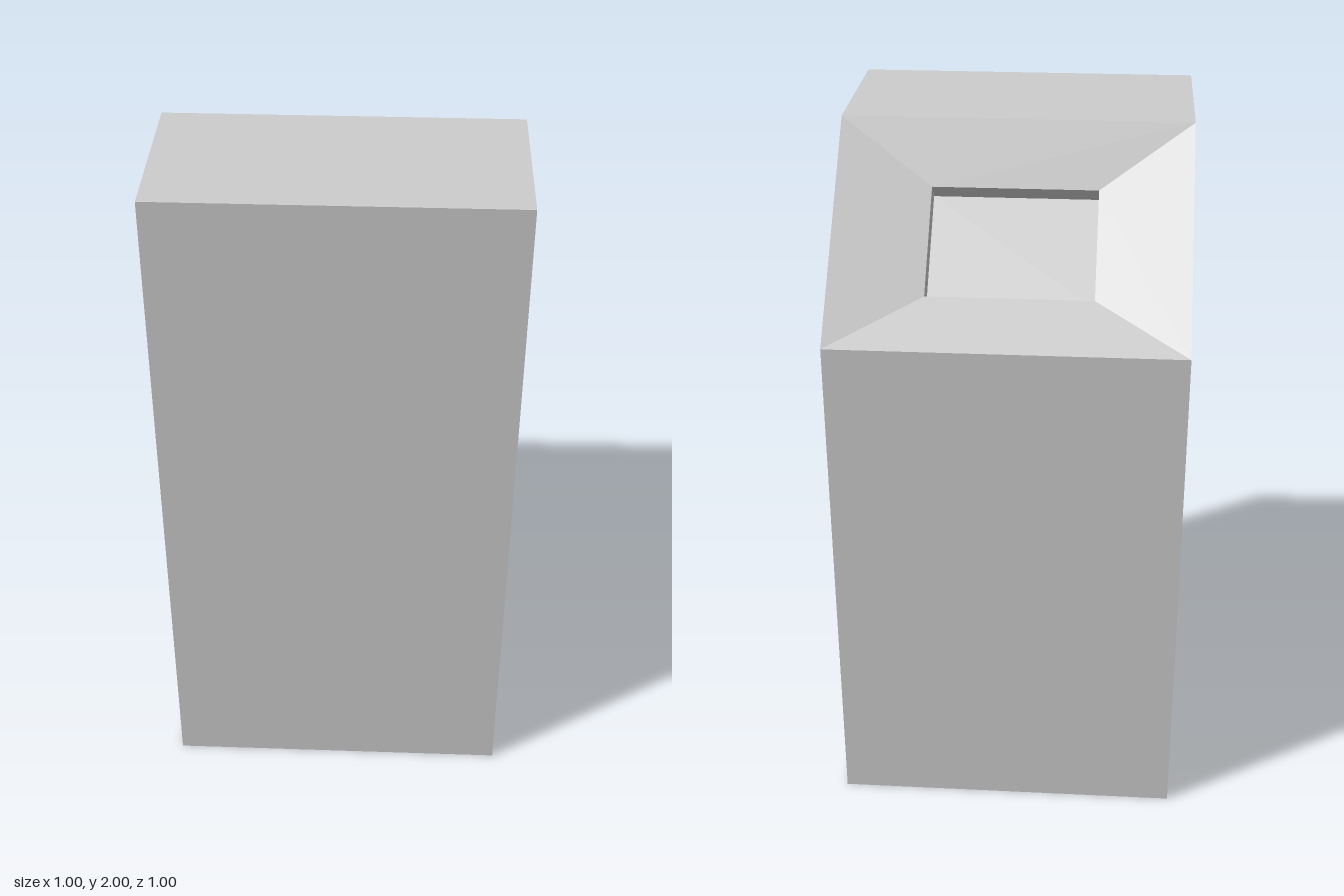
import * as THREE from 'three';

// Flat faces from lists of corners (convex, counter-clockwise from outside)
function facesGeometry(faces) {
  const pos = [];
  for (const f of faces)
    for (let i = 1; i < f.length - 1; i++) pos.push(...f[0], ...f[i], ...f[i + 1]);
  const geo = new THREE.BufferGeometry();
  geo.setAttribute('position', new THREE.Float32BufferAttribute(pos, 3));
  geo.computeVertexNormals();
  return geo;
}

// Rectangle of corners at a given depth below the sloped plane
const ring = (w, h, depth) =>
  [[-w, -h], [-w, h], [w, h], [w, -h]].map(([x, z]) => [x, -depth, z]);

// Four quads joining two rings
const strip = (a, b) => a.map((p, i) => {
  const j = (i + 1) % 4;
  return [p, a[j], b[j], b[i]];
});

export function createModel() {
  const group = new THREE.Group();
  const grey = new THREE.MeshStandardMaterial({ color: 0xcccccc });
  grey.name = 'light grey';

  const add = (name, faces, parent) => {
    const mesh = new THREE.Mesh(facesGeometry(faces), grey);
    mesh.name = name;
    parent.add(mesh);
  };

  // Cabinet: side profile pulled across x, left open at the slope
  const profile = [[0, 0.5], [0, -0.5], [1.5, -0.5], [2, 0], [2, 0.5]]; // y, z
  const left = profile.map(([y, z]) => [0.5, y, z]);
  const right = profile.map(([y, z]) => [-0.5, y, z]);
  const cabinet = [left, [...right].reverse()];
  for (let i = 0; i < 5; i++) {
    if (i === 2) continue; // slope opening
    const j = (i + 1) % 5;
    cabinet.push([left[j], left[i], right[i], right[j]]);
  }
  add('cabinet', cabinet, group);

  // Sloped panel: funnel frame sinking to a recessed screen
  const panel = new THREE.Group();
  panel.name = 'slopedPanel';
  panel.position.set(0, 1.75, -0.25);
  panel.rotation.x = -Math.PI / 4;
  group.add(panel);

  const outer = ring(0.5, Math.SQRT1_2 / 2, 0);
  const rim = ring(0.236, 0.167, 0.06);
  const floor = ring(0.236, 0.167, 0.12);
  add('screenFrame', strip(outer, rim), panel);
  add('recessWalls', strip(rim, floor), panel);
  add('screen', [floor], panel);

  return group;
}
